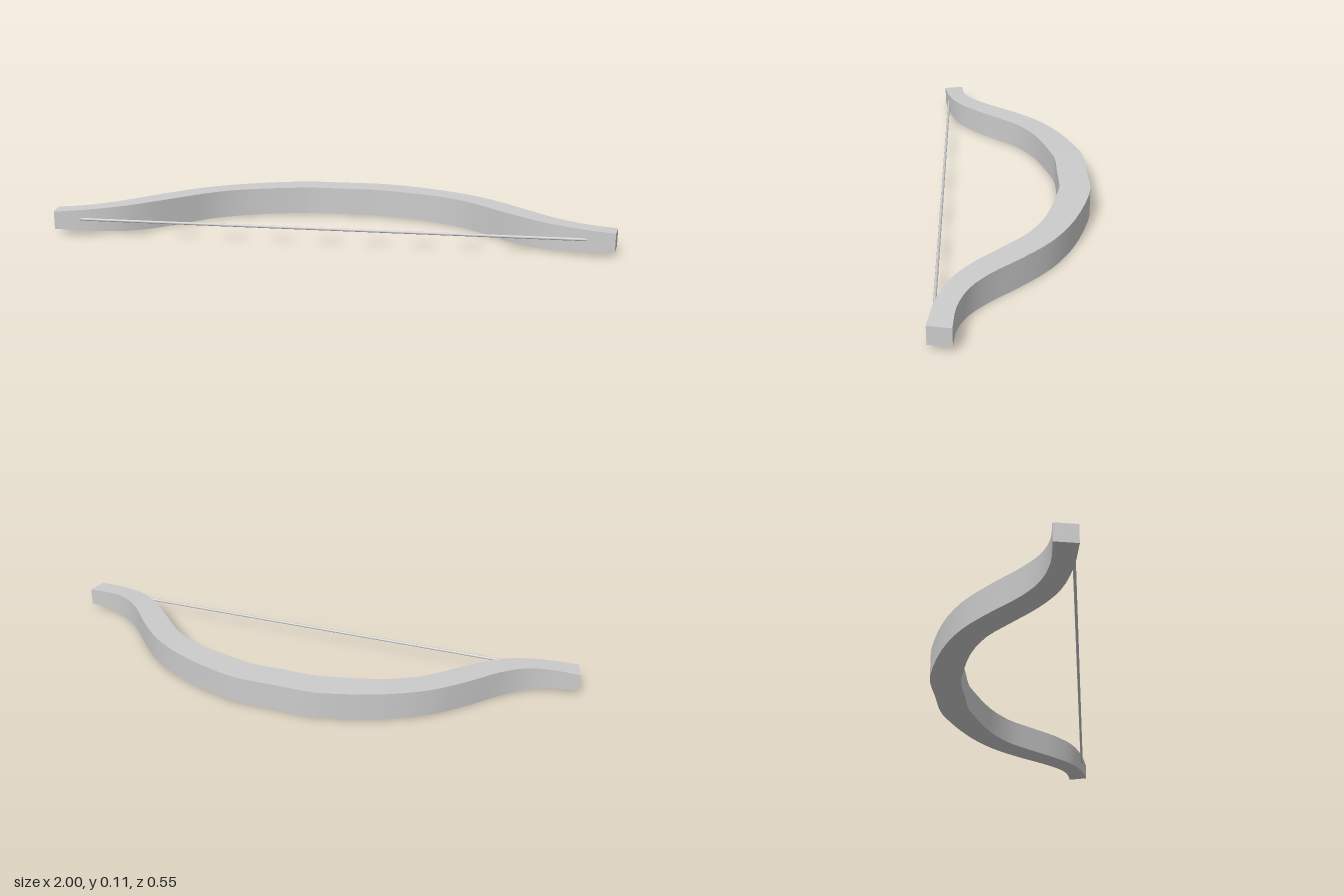
import * as THREE from 'three';

// Half of the bow, grip to tip: back edge x, z | string-side edge x, z | bottom y, top y
const stations = [
  [0, -0.277, 0, -0.166, 0.004, 0.105],
  [0.13, -0.277, 0.12, -0.166, 0.004, 0.105],
  [0.2, -0.265, 0.18, -0.154, 0.004, 0.105],
  [0.39, -0.198, 0.35, -0.105, 0.002, 0.104],
  [0.53, -0.115, 0.47, -0.04, 0.001, 0.103],
  [0.64, -0.01, 0.565, 0.05, 0, 0.102],
  [0.73, 0.09, 0.66, 0.145, 0, 0.101],
  [0.81, 0.155, 0.755, 0.215, 0.004, 0.097],
  [0.9, 0.19, 0.87, 0.257, 0.012, 0.09],
  [1, 0.2, 0.985, 0.276, 0.019, 0.083],
];

// Both halves, from the -x tip to the +x tip
const mirrored = stations.slice(1).reverse().map(([a, b, c, d, e, f]) => [-a, b, -c, d, e, f]);
const rows = [...mirrored, ...stations];

// Smooth curve along one long corner of the bow
function corner(ix, iz, iy) {
  const curve = new THREE.CatmullRomCurve3(rows.map((r) => new THREE.Vector3(r[ix], r[iy], r[iz])));
  return curve.getPoints((rows.length - 1) * 3);
}

// Strip of quads between two long corners, smooth along its length
function strip(a, b, material) {
  const points = [];
  const index = [];
  a.forEach((p, i) => {
    points.push(p, b[i]);
    const k = 2 * i;
    if (i < a.length - 1) index.push(k, k + 1, k + 2, k + 1, k + 3, k + 2);
  });
  const geometry = new THREE.BufferGeometry().setFromPoints(points);
  geometry.setIndex(index);
  geometry.computeVertexNormals();
  return new THREE.Mesh(geometry, material);
}

// Flat end face
function cap(points, material) {
  const geometry = new THREE.BufferGeometry().setFromPoints(points);
  geometry.setIndex([0, 1, 2, 0, 2, 3]);
  geometry.computeVertexNormals();
  return new THREE.Mesh(geometry, material);
}

export function createModel() {
  const material = new THREE.MeshStandardMaterial({ color: 0xcccccc });
  const model = new THREE.Group();
  model.name = 'bow';

  // Bow stave: four long faces with sharp edges between them
  const stave = new THREE.Group();
  stave.name = 'stave';
  const corners = [corner(0, 1, 5), corner(2, 3, 5), corner(2, 3, 4), corner(0, 1, 4)];
  ['topFace', 'bellyFace', 'bottomFace', 'backFace'].forEach((name, i) => {
    const face = strip(corners[i], corners[(i + 1) % 4], material);
    face.name = name;
    stave.add(face);
  });

  // Tips
  const leftTip = cap(corners.map((c) => c[c.length - 1]), material);
  leftTip.name = 'leftTip';
  const rightTip = cap(corners.map((c) => c[0]).reverse(), material);
  rightTip.name = 'rightTip';
  stave.add(leftTip, rightTip);
  model.add(stave);

  // Bowstring, its ends buried in the limbs
  const string = new THREE.Mesh(new THREE.CylinderGeometry(0.005, 0.005, 1.88, 8), material);
  string.name = 'bowstring';
  string.rotation.z = Math.PI / 2;
  string.position.set(0, 0.054, 0.258);
  model.add(string);

  return model;
}
